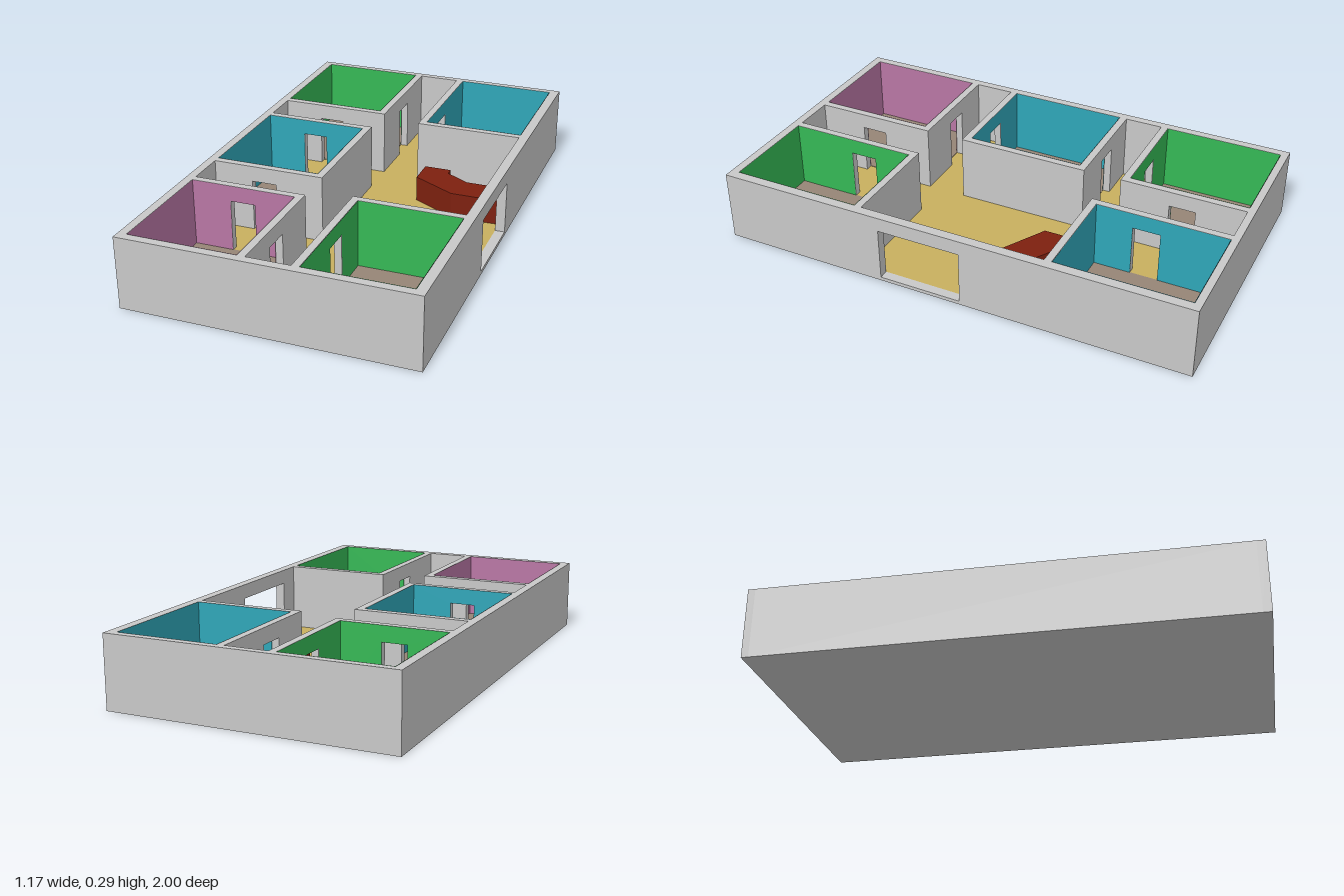
import * as THREE from 'three';

const H = 0.295, DOOR_H = 0.23, T = 0.03, SKIN = 0.002;
// inner faces of the outer walls
const X0 = -0.55, X1 = 0.545, Z0 = -0.97, Z1 = 0.965;

function mat(name, color, side = THREE.FrontSide) {
  const m = new THREE.MeshStandardMaterial({ color, side });
  m.name = name;
  return m;
}

// wall elevation along s, with an optional doorway down to the floor
function elevation(a, b, door) {
  const pts = [[a, 0]];
  if (door) pts.push([door[0], 0], [door[0], DOOR_H], [door[1], DOOR_H], [door[1], 0]);
  pts.push([b, 0], [b, H], [a, H]);
  return new THREE.Shape(pts.map(p => new THREE.Vector2(...p)));
}

export function createModel() {
  const model = new THREE.Group();
  model.name = 'floorPlan';
  const grey = mat('wallGrey', 0xc8c8c8);
  const yellow = mat('hallYellow', 0xc8b05f);
  const brown = mat('roomFloorBrown', 0x968576);
  const red = mat('deskRed', 0x7d200f);
  const green = mat('greenPaint', 0x35b855, THREE.DoubleSide);
  const teal = mat('tealPaint', 0x2fa6b8, THREE.DoubleSide);
  const purple = mat('purplePaint', 0xb876a4, THREE.DoubleSide);

  function add(name, geometry, material, parent = model) {
    const mesh = new THREE.Mesh(geometry, material);
    mesh.name = name;
    parent.add(mesh);
    return mesh;
  }

  function slab(name, x0, x1, y0, y1, z0, z1, material, parent) {
    const g = new THREE.BoxGeometry(x1 - x0, y1 - y0, z1 - z0);
    add(name, g, material, parent).position.set((x0 + x1) / 2, (y0 + y1) / 2, (z0 + z1) / 2);
  }

  // wall running along 'x' or 'z', occupying lo..hi across
  function wall(name, axis, shape, lo, hi, parent) {
    const g = new THREE.ExtrudeGeometry(shape, { depth: hi - lo, bevelEnabled: false });
    if (axis === 'z') g.rotateY(-Math.PI / 2).translate(hi, 0, 0);
    else g.translate(0, 0, lo);
    add(name, g, grey, parent);
  }

  // painted sheet on the room side of a wall
  function paint(axis, a, b, at, door, material, parent) {
    const g = new THREE.ShapeGeometry(elevation(a, b, door));
    if (axis === 'z') g.rotateY(-Math.PI / 2).translate(at, 0, 0);
    else g.translate(0, 0, at);
    add('wallPaint', g, material, parent);
  }

  // base and hall floor
  slab('base', X0, X1, 0, 0.01, Z0, Z1, grey);
  slab('hallFloor', X0, X1, 0.01, 0.014, Z0, Z1, yellow);

  // outer walls, with the entrance on the +x side
  wall('backWall', 'x', elevation(-0.585, 0.585), -1, Z0);
  wall('frontWall', 'x', elevation(-0.585, 0.585), Z1, 1);
  wall('rightSideWall', 'z', elevation(Z0, Z1), -0.585, X0);
  const entrance = elevation(Z0, Z1);
  entrance.holes.push(new THREE.Path([[-0.06, 0.015], [-0.06, 0.235], [0.29, 0.235], [0.29, 0.015]]
    .map(p => new THREE.Vector2(...p))));
  wall('entranceWall', 'z', entrance, X1, 0.585);

  // rooms: inner limits, paint, and doorways per side
  const sideDoor = [-0.385, -0.28];
  const rooms = [
    { name: 'backRightRoom', x: [X0, -0.11], z: [Z0, -0.475], paint: green,
      doors: { front: sideDoor, inner: [-0.765, -0.655] } },
    { name: 'middleRoom', x: [X0, -0.11], z: [-0.255, 0.245], paint: teal,
      doors: { front: sideDoor, back: sideDoor } },
    { name: 'frontRightRoom', x: [X0, -0.11], z: [0.47, Z1], paint: purple,
      doors: { back: sideDoor, inner: [0.655, 0.765] } },
    { name: 'backLeftRoom', x: [0.125, X1], z: [Z0, -0.425], paint: teal,
      doors: { inner: [-0.695, -0.58] } },
    { name: 'frontLeftRoom', x: [0.125, X1], z: [0.415, Z1], paint: green,
      doors: { inner: [0.58, 0.695] } },
  ];

  for (const r of rooms) {
    const room = new THREE.Group();
    room.name = r.name;
    model.add(room);
    const [x0, x1] = r.x, [z0, z1] = r.z, d = r.doors;
    const onRight = x0 === X0;
    const hasBack = z0 !== Z0, hasFront = z1 !== Z1;

    slab('roomFloor', x0, x1, 0.01, 0.016, z0, z1, brown, room);

    // partitions
    if (hasBack) wall('backPartition', 'x', elevation(x0, x1, d.back), z0 - T, z0, room);
    if (hasFront) wall('frontPartition', 'x', elevation(x0, x1, d.front), z1, z1 + T, room);
    const inner = elevation(hasBack ? z0 - T : z0, hasFront ? z1 + T : z1, d.inner);
    const at = onRight ? x1 : x0 - T;
    wall('hallPartition', 'z', inner, at, at + T, room);

    // paint on all four sides
    paint('x', x0, x1, z0 + SKIN, d.back, r.paint, room);
    paint('x', x0, x1, z1 - SKIN, d.front, r.paint, room);
    paint('z', z0, z1, x0 + SKIN, onRight ? null : d.inner, r.paint, room);
    paint('z', z0, z1, x1 - SKIN, onRight ? d.inner : null, r.paint, room);
  }

  // angled reception desk against the entrance wall
  const plan = [[0.15, -0.34], [0.265, -0.34], [0.265, -0.305], [0.365, -0.245],
    [0.545, -0.245], [0.545, -0.12], [0.495, -0.117], [0.335, -0.117], [0.15, -0.22]];
  const deskShape = new THREE.Shape(plan.map(([x, z]) => new THREE.Vector2(x, -z)));
  const desk = new THREE.ExtrudeGeometry(deskShape, { depth: 0.11, bevelEnabled: false });
  desk.rotateX(-Math.PI / 2).translate(0, 0.012, 0);
  add('receptionDesk', desk, red);

  return model;
}
